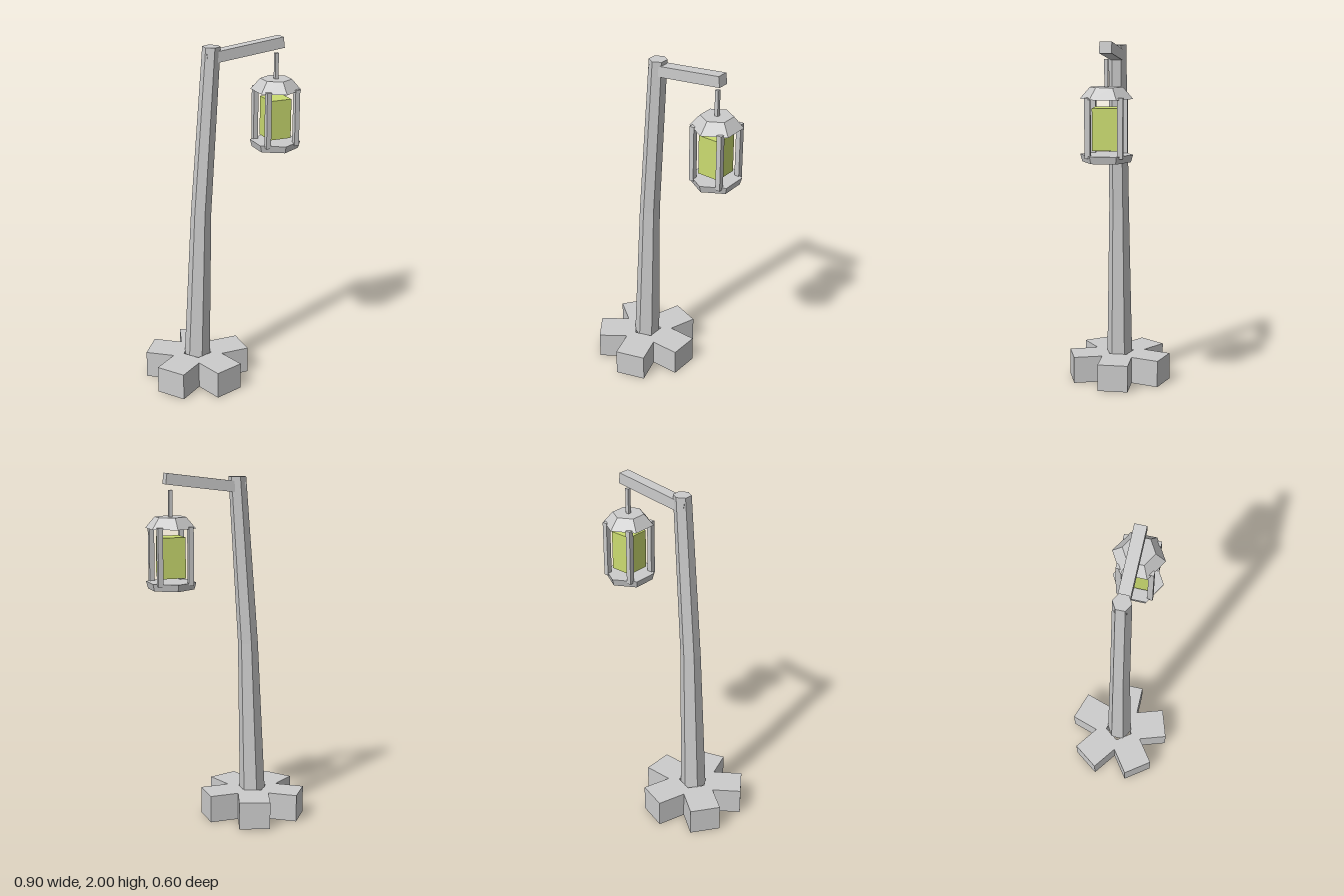
import * as THREE from 'three';

const grey = new THREE.MeshStandardMaterial({ color: 0xcccccc, flatShading: true });
const glow = new THREE.MeshStandardMaterial({ color: 0xcbdc70, flatShading: true });

function add(parent, name, geometry, x, y, z, material = grey) {
  const mesh = new THREE.Mesh(geometry, material);
  mesh.name = name;
  mesh.position.set(x, y, z);
  parent.add(mesh);
  return mesh;
}

// Five-armed foot with a pentagonal hole through the middle
function footGeometry() {
  const reach = 0.288, half = 0.088, height = 0.157;
  const outline = [], hole = [];
  for (let i = 0; i < 5; i++) {
    const a = (i * Math.PI * 2) / 5, b = a + Math.PI / 5;
    const c = Math.cos(a), s = Math.sin(a), notch = half / Math.sin(Math.PI / 5);
    outline.push(
      new THREE.Vector2(reach * c + half * s, reach * s - half * c),
      new THREE.Vector2(reach * c - half * s, reach * s + half * c),
      new THREE.Vector2(notch * Math.cos(b), notch * Math.sin(b)));
    hole.push(new THREE.Vector2(0.085 * Math.cos(b), 0.085 * Math.sin(b)));
  }
  const shape = new THREE.Shape(outline);
  shape.holes.push(new THREE.Path(hole));
  return new THREE.ExtrudeGeometry(shape, { depth: height, bevelEnabled: false }).rotateX(-Math.PI / 2);
}

// Six-sided pole that tapers and bends: each ring is [centre x, y, radius]
function poleGeometry() {
  const rings = [[-0.165, 0.14, 0.075], [-0.134, 1.03, 0.058], [-0.067, 1.975, 0.05]];
  const g = new THREE.CylinderGeometry(1, 1, 2, 6, 2);
  const p = g.attributes.position;
  for (let i = 0; i < p.count; i++) {
    const [cx, y, r] = rings[Math.round(p.getY(i)) + 1];
    p.setXYZ(i, cx + p.getX(i) * r, y, p.getZ(i) * r);
  }
  g.computeVertexNormals();
  return g;
}

export function createModel() {
  const model = new THREE.Group();
  model.name = 'lampPost';

  add(model, 'foot', footGeometry(), -0.165, 0, 0);
  add(model, 'pole', poleGeometry(), 0, 0, 0);

  // Arm, tilted slightly upward from the pole
  const arm = add(model, 'arm', new THREE.BoxGeometry(0.46, 0.061, 0.066), 0.125, 1.941, 0);
  arm.rotation.z = 0.122;

  // Hanging lantern
  const lantern = new THREE.Group();
  lantern.name = 'lantern';
  lantern.position.x = 0.323;
  model.add(lantern);
  add(lantern, 'hanger', new THREE.BoxGeometry(0.02, 0.155, 0.02), 0, 1.83, 0);
  add(lantern, 'lanternRoof', new THREE.CylinderGeometry(0.089, 0.143, 0.062, 6), 0, 1.731, 0);
  add(lantern, 'lanternFloor', new THREE.CylinderGeometry(0.143, 0.132, 0.04, 6), 0, 1.384, 0);
  add(lantern, 'light', new THREE.BoxGeometry(0.13, 0.225, 0.136), 0, 1.541, 0, glow);
  for (const sx of [-1, 1])
    for (const sz of [-1, 1])
      add(lantern, 'lanternPost', new THREE.BoxGeometry(0.028, 0.32, 0.03), sx * 0.087, 1.55, sz * 0.087);

  return model;
}
